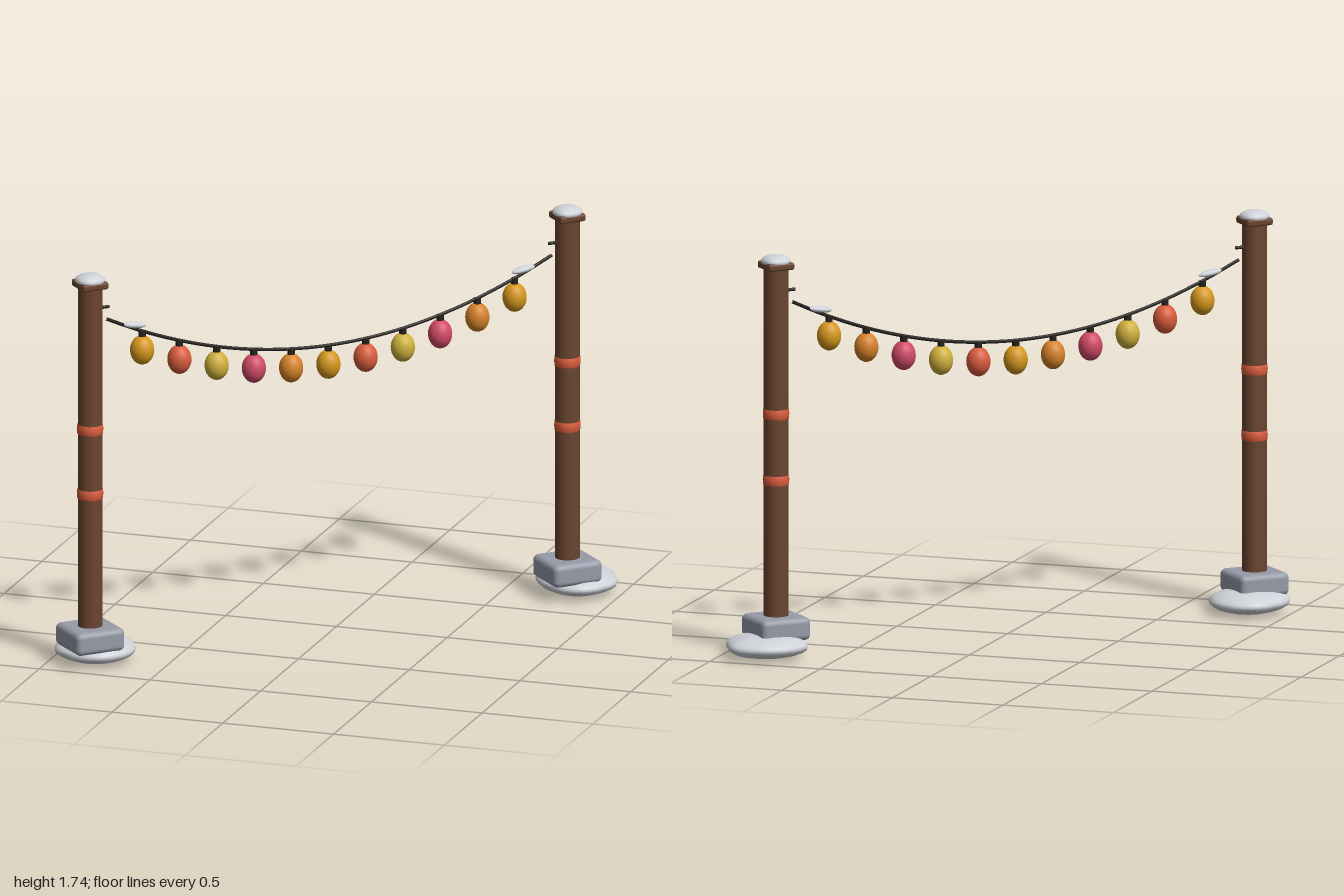
import * as THREE from 'three';
import { mergeVertices } from 'three/addons/utils/BufferGeometryUtils.js';
import { RoundedBoxGeometry } from 'three/addons/geometries/RoundedBoxGeometry.js';

const mat = (name, color) => {
  const m = new THREE.MeshStandardMaterial({ color });
  m.name = name;
  return m;
};

// Flattened mound whose outline follows a ring of radii
function moundGeometry(radii, halfHeight) {
  const g = new THREE.SphereGeometry(1, 36, 16);
  g.deleteAttribute('uv');
  g.deleteAttribute('normal');
  const p = g.attributes.position;
  const n = radii.length;
  for (let i = 0; i < p.count; i++) {
    const x = p.getX(i), y = p.getY(i), z = p.getZ(i);
    const a = ((Math.atan2(z, x) / (2 * Math.PI) + 1) % 1) * n;
    const k = Math.floor(a) % n;
    const r = THREE.MathUtils.lerp(radii[k], radii[(k + 1) % n], a - Math.floor(a));
    p.setXYZ(i, x * r, y * halfHeight, z * r);
  }
  const merged = mergeVertices(g, 1e-5);
  merged.computeVertexNormals();
  return merged;
}

export function createModel() {
  const model = new THREE.Group();
  model.name = 'lightGarland';

  const wood = mat('brown wood', 0x6b452f);
  const stone = mat('grey stone', 0x969ba8);
  const snow = mat('snow', 0xced2d8);
  const black = mat('black cord', 0x24211c);
  const amber = mat('amber', 0xd6981c);
  const red = mat('red orange', 0xd95c3c);
  const yellow = mat('yellow', 0xcfb03c);
  const pink = mat('pink', 0xd24a68);
  const orange = mat('orange', 0xd6832a);

  const add = (parent, name, geometry, material, x = 0, y = 0, z = 0) => {
    const m = new THREE.Mesh(geometry, material);
    m.name = name;
    m.position.set(x, y, z);
    parent.add(m);
    return m;
  };

  // Posts, each with its stone foot, bands, cap, hook and snow
  const posts = [
    { name: 'rightPost', x: -0.82, z: 0.853, inward: 1, snowAt: [0, -0.063],
      outline: [0.175, 0.17, 0.17, 0.17, 0.165, 0.175, 0.17, 0.165, 0.185, 0.19, 0.185, 0.175] },
    { name: 'leftPost', x: 0.785, z: -0.755, inward: -1, snowAt: [0.015, -0.065],
      outline: [0.185, 0.175, 0.18, 0.17, 0.155, 0.16, 0.18, 0.17, 0.17, 0.175, 0.195, 0.175] },
  ];
  const capOutline = [0.066, 0.062, 0.068, 0.063, 0.066, 0.061, 0.067, 0.063];
  for (const d of posts) {
    const post = new THREE.Group();
    post.name = d.name;
    post.position.set(d.x, 0, d.z);
    model.add(post);

    add(post, 'shaft', new THREE.CylinderGeometry(0.053, 0.053, 1.54, 32), wood, 0, 0.93, 0);
    const foot = add(post, 'foot', new RoundedBoxGeometry(0.23, 0.1, 0.23, 4, 0.025), stone, 0, 0.127, 0);
    foot.rotation.y = Math.PI / 4;
    const cap = add(post, 'cap', new RoundedBoxGeometry(0.122, 0.032, 0.122, 3, 0.01), wood, 0, 1.7, 0);
    cap.rotation.y = Math.PI / 4;
    for (const y of [0.767, 1.055]) {
      const profile = [[0.05, -0.023], [0.055, -0.02], [0.057, 0], [0.055, 0.02], [0.05, 0.023]];
      add(post, 'band', new THREE.LatheGeometry(profile.map(([r, h]) => new THREE.Vector2(r, h)), 32), red, 0, y, 0);
    }
    const hook = add(post, 'hook', new THREE.CylinderGeometry(0.007, 0.007, 0.05, 10), black,
      d.inward * 0.046, 1.588, -d.inward * 0.046);
    hook.quaternion.setFromUnitVectors(new THREE.Vector3(0, 1, 0), new THREE.Vector3(1, 0, -1).normalize());

    add(post, 'capSnow', moundGeometry(capOutline, 0.029), snow, 0, 1.718, 0);
    add(post, 'groundSnow', moundGeometry(d.outline, 0.052), snow, d.snowAt[0], 0.058, d.snowAt[1]);
  }

  // Sagging cord along the diagonal
  const mid = -0.017, half = 0.75;
  const onCord = (x) => new THREE.Vector3(x, 1.275 + 0.26 * ((x - mid) / half) ** 2, 0.033 - x);
  const cordPoints = [];
  for (let i = 0; i <= 16; i++) cordPoints.push(onCord(mid + half * (i / 8 - 1)));
  add(model, 'cord', new THREE.TubeGeometry(new THREE.CatmullRomCurve3(cordPoints), 64, 0.0075, 8), black);

  // Snow clumps lying on the cord ends
  for (const side of [-1, 1]) {
    const p = onCord(mid + side * 0.655);
    const clump = add(model, 'cordSnow', new THREE.SphereGeometry(1, 20, 12), snow, p.x, p.y + 0.016, p.z);
    clump.scale.set(0.056, 0.014, 0.019);
    clump.rotation.set(0, Math.PI / 4, side * 0.15);
  }

  // Bulbs with sockets
  const bulbColours = [amber, red, yellow, pink, orange, amber, red, yellow, pink, orange, amber];
  const bulbGeometry = new THREE.SphereGeometry(0.052, 24, 16).scale(1, 1.23, 1);
  const socketGeometry = new THREE.CylinderGeometry(0.016, 0.016, 0.042, 12);
  bulbColours.forEach((colour, i) => {
    const p = onCord(-0.645 + i * 0.1253);
    const light = new THREE.Group();
    light.name = 'light';
    light.position.copy(p);
    model.add(light);
    add(light, 'socket', socketGeometry, black, 0, -0.02, 0);
    add(light, 'bulb', bulbGeometry, colour, 0, -0.084, 0);
  });

  return model;
}
